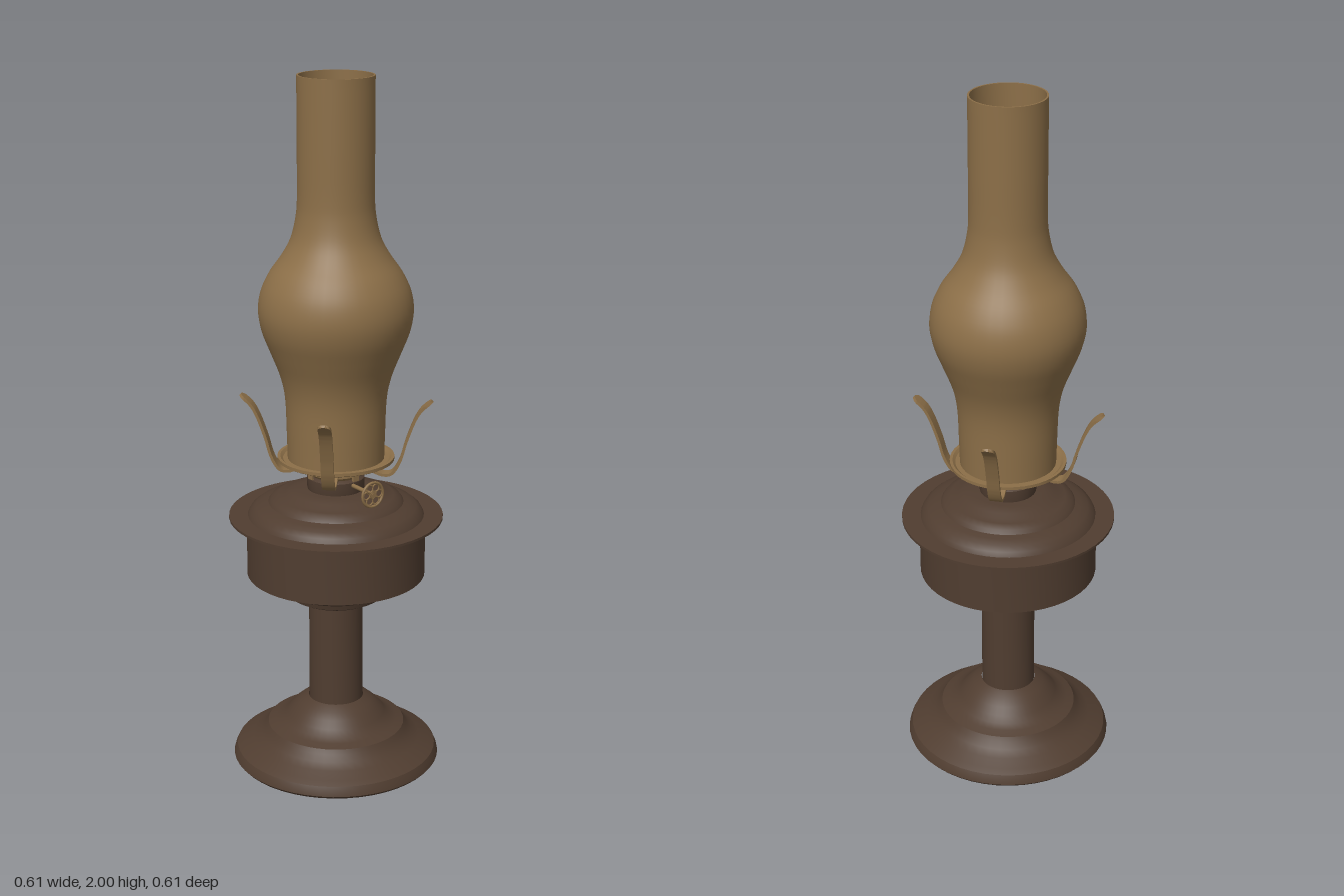
import * as THREE from 'three';
import { toCreasedNormals } from 'three/addons/utils/BufferGeometryUtils.js';

const bronze = new THREE.MeshStandardMaterial({ color: 0x503d30, side: THREE.DoubleSide });
bronze.name = 'darkBronze';
const brass = new THREE.MeshStandardMaterial({ color: 0x8c6f48, side: THREE.DoubleSide });
brass.name = 'amberBrass';

export function createModel() {
  const lamp = new THREE.Group();
  lamp.name = 'oilLamp';

  const add = (name, geometry, material, parent = lamp) => {
    const mesh = new THREE.Mesh(geometry, material);
    mesh.name = name;
    parent.add(mesh);
    return mesh;
  };
  // Turned part from [radius, height] pairs, listed from the bottom up
  const turn = (name, profile, material, segments = 48) => {
    const pts = profile.map(([r, y]) => new THREE.Vector2(r, y));
    return add(name, toCreasedNormals(new THREE.LatheGeometry(pts, segments), 0.6), material);
  };
  const smooth = (profile, n) => new THREE.SplineCurve(
    profile.map(([r, y]) => new THREE.Vector2(r, y))).getPoints(n).map((p) => [p.x, p.y]);

  // Hollow stepped foot and plain stem
  turn('foot', [[0.295, 0], [0.302, 0.008], [0.299, 0.02], [0.292, 0.035], [0.275, 0.045],
    [0.245, 0.06], [0.222, 0.075], [0.208, 0.092], [0.2, 0.105], [0.178, 0.113], [0.158, 0.122],
    [0.143, 0.138], [0.125, 0.158], [0.105, 0.175], [0.08, 0.188]], bronze);
  turn('stem', [[0, 0.18], [0.078, 0.18], [0.078, 0.505]], bronze, 32);

  // Oil tank: stepped underside, drum, wide brim and stepped shoulder
  turn('tankUnderside', [[0.075, 0.5], [0.12, 0.503], [0.137, 0.512], [0.143, 0.53], [0.165, 0.536],
    [0.185, 0.546], [0.196, 0.562], [0.2, 0.578]], bronze);
  turn('tank', [[0.195, 0.578], [0.256, 0.578], [0.256, 0.755]], bronze);
  turn('brim', [[0.25, 0.75], [0.306, 0.75], [0.306, 0.757], [0.24, 0.757]], bronze);
  turn('shoulder', [[0.252, 0.757], [0.245, 0.77], [0.23, 0.782], [0.21, 0.79], [0.193, 0.795],
    [0.185, 0.806], [0.165, 0.815], [0.145, 0.818], [0.132, 0.828], [0.1, 0.834], [0.06, 0.836]], bronze);

  // Burner: threaded collar, flared cup, gallery plate and wick dome
  turn('collar', [[0.08, 0.832], [0.082, 0.84], [0.082, 0.87], [0.07, 0.878], [0, 0.878]], bronze, 32);
  turn('burnerCup', [[0.07, 0.875], [0.08, 0.885], [0.08, 0.905], [0.07, 0.922]], brass, 32);
  turn('gallery', [[0.07, 0.919], [0.158, 0.919], [0.166, 0.923], [0.166, 0.932], [0.158, 0.932],
    [0.15, 0.925], [0.07, 0.925]], brass);
  turn('wickDome', smooth([[0.12, 0.926], [0.112, 0.95], [0.085, 0.975], [0.045, 0.99], [0.008, 0.994]], 12),
    brass, 32);

  // Glass chimney with a thin wall
  const outer = smooth([[0.137, 0.927], [0.139, 1.0], [0.143, 1.1], [0.157, 1.17], [0.184, 1.24],
    [0.207, 1.3], [0.216, 1.355], [0.208, 1.41], [0.185, 1.46], [0.15, 1.51], [0.124, 1.56],
    [0.11, 1.62], [0.106, 1.68], [0.106, 1.8], [0.106, 2]], 56);
  const inner = outer.map(([r, y]) => [r - 0.005, y]).reverse();
  turn('chimney', [...outer, ...inner], brass, 40);

  // Four springy prongs: a bar bent along a curve, rounded at its tip
  const path = new THREE.SplineCurve([[0.075, 0.905], [0.105, 0.893], [0.135, 0.882], [0.162, 0.888],
    [0.184, 0.925], [0.2, 0.98], [0.222, 1.04], [0.242, 1.075], [0.272, 1.102]]
    .map(([r, y]) => new THREE.Vector2(r, y)));
  const prongGeo = new THREE.BoxGeometry(0.036, 1, 0.008, 2, 48, 1);
  const pos = prongGeo.attributes.position;
  for (let i = 0; i < pos.count; i++) {
    const t = pos.getY(i) + 0.5;
    const p = path.getPointAt(t), d = path.getTangentAt(t);
    const tip = Math.max(0, (t - 0.94) / 0.06);
    const width = Math.sqrt(Math.max(0.04, 1 - tip * tip));
    const z = pos.getZ(i);
    pos.setXYZ(i, pos.getX(i) * width, p.y - d.x * z, p.x + d.y * z);
  }
  const prongShape = toCreasedNormals(prongGeo, 0.6);
  for (let k = 0; k < 4; k++) {
    const angle = THREE.MathUtils.degToRad(47 + 90 * k);
    add('prong', prongShape, brass).rotation.y = angle;
    // Short strut carrying the gallery between prongs
    const strut = add('galleryStrut', new THREE.BoxGeometry(0.02, 0.045, 0.006), brass);
    strut.position.set(Math.sin(angle + 0.785) * 0.09, 0.9, Math.cos(angle + 0.785) * 0.09);
    strut.rotation.y = angle + 0.785;
  }

  // Wick knob: shaft and pierced wheel at the front
  const knob = new THREE.Group();
  knob.name = 'wickKnob';
  knob.position.set(0, 0.862, 0.174);
  lamp.add(knob);
  const shaft = add('knobShaft', new THREE.CylinderGeometry(0.006, 0.006, 0.12, 12), brass, knob);
  shaft.rotation.x = Math.PI / 2;
  shaft.position.z = -0.055;
  add('knobRim', new THREE.TorusGeometry(0.035, 0.004, 8, 32), brass, knob);
  const hub = add('knobHub', new THREE.CylinderGeometry(0.01, 0.01, 0.008, 16), brass, knob);
  hub.rotation.x = Math.PI / 2;
  for (let k = 0; k < 6; k++) {
    const a = (k * Math.PI) / 3;
    const loop = add('knobLoop', new THREE.TorusGeometry(0.011, 0.0025, 6, 14), brass, knob);
    loop.position.set(Math.cos(a) * 0.021, Math.sin(a) * 0.021, 0);
  }
  return lamp;
}
